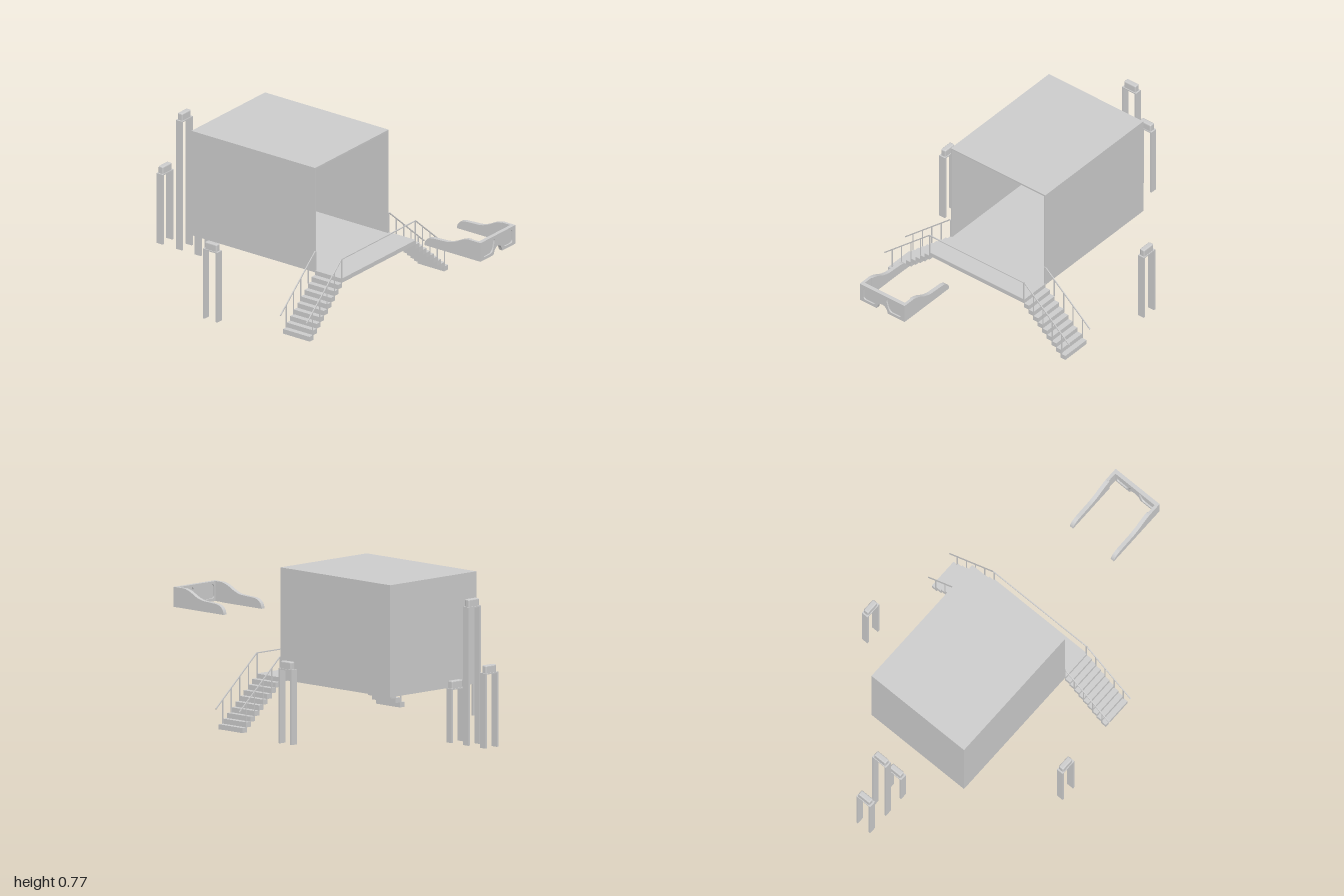
import * as THREE from 'three';
import { RoundedBoxGeometry } from 'three/addons/geometries/RoundedBoxGeometry.js';

const grey = new THREE.MeshStandardMaterial({ color: 0xcccccc, flatShading: true, side: THREE.DoubleSide });

function add(parent, name, geometry, x = 0, y = 0, z = 0) {
  const mesh = new THREE.Mesh(geometry, grey);
  mesh.name = name;
  mesh.position.set(x, y, z);
  parent.add(mesh);
  return mesh;
}

// Box given by its limits on each axis
function block(parent, name, x0, x1, y0, y1, z0, z1) {
  return add(parent, name, new THREE.BoxGeometry(x1 - x0, y1 - y0, z1 - z0),
    (x0 + x1) / 2, (y0 + y1) / 2, (z0 + z1) / 2);
}

// Thin square bar between two points in a plane of constant x
function bar(parent, name, x, y0, z0, y1, z1, t = 0.005) {
  const mesh = add(parent, name, new THREE.BoxGeometry(t, t, Math.hypot(y1 - y0, z1 - z0)),
    x, (y0 + y1) / 2, (z0 + z1) / 2);
  mesh.rotation.x = -Math.atan2(y1 - y0, z1 - z0);
}

function group(parent, name) {
  const g = new THREE.Group();
  g.name = name;
  parent.add(g);
  return g;
}

// Two slim legs joined by a rounded cap
function gate(parent, x, z, height, turned) {
  const g = group(parent, 'gate');
  const shoulder = height - 0.036;
  for (const s of [-1, 1]) add(g, 'gateLeg', new THREE.BoxGeometry(0.01, shoulder, 0.036), s * 0.038, shoulder / 2, 0);
  add(g, 'gateBeam', new THREE.BoxGeometry(0.086, 0.006, 0.036), 0, shoulder - 0.003, 0);
  add(g, 'gateCap', new RoundedBoxGeometry(0.07, 0.042, 0.028, 2, 0.006), 0, height - 0.021, 0);
  g.position.set(x, 0, z);
  if (turned) g.rotation.y = Math.PI / 2;
}

// Room with an open side towards +x
function buildRoom(parent) {
  const g = group(parent, 'room');
  const t = 0.008, x0 = -0.605, x1 = 0.13, y0 = 0.228, y1 = 0.766, w = 0.288;
  block(g, 'floor', x0, x1, y0, y0 + t, -w, w);
  block(g, 'ceiling', x0, x1, y1 - t, y1, -w, w);
  block(g, 'endWall', x0, x0 + t, y0 + t, y1 - t, -w, w);
  for (const s of [-1, 1]) {
    const c = s * (w - t / 2);
    block(g, 'sideWall', x0 + t, x1, y0 + t, y1 - t, c - t / 2, c + t / 2);
  }
}

// Landing with a flight of stairs and handrails on either end
function buildLanding(parent) {
  const g = group(parent, 'landing');
  const x0 = 0.132, x1 = 0.29, top = 0.238, w = 0.29, railY = 0.337;
  block(g, 'platform', x0, x1, 0.216, top, -w, w);
  bar(g, 'platformRail', x1 - 0.002, railY, -w, railY, w);

  const steps = 9, rise = 0.216 / steps, run = 0.25 / steps;
  for (const s of [-1, 1]) {
    const flight = group(g, 'stairs');
    for (let i = 0; i < steps; i++) {
      const z = w + (steps - i - 0.5) * run;
      add(flight, 'step', new THREE.BoxGeometry(x1 - x0, rise, run + 0.003), (x0 + x1) / 2, (i + 0.5) * rise, s * z);
    }
    for (const x of [x0, x1 - 0.002]) {
      bar(flight, 'handrail', x, railY, s * w, 0.1, s * 0.563);
      bar(flight, 'cornerPost', x, top, s * (w - 0.003), railY, s * (w - 0.003));
      for (const z of [0.345, 0.403, 0.46, 0.517]) {
        const level = Math.ceil(steps - (z - w) / run) * rise;
        bar(flight, 'baluster', x, level, s * z, railY - (z - w) * 0.868, s * z, 0.004);
      }
    }
  }
}

function extrude(shape, depth) {
  return new THREE.ExtrudeGeometry(shape, { depth, bevelEnabled: false, curveSegments: 8 });
}

// Rounded lens outline; s picks the side
function lensPath(PathType, s) {
  const p = new PathType();
  p.moveTo(s * 0.035, 0.54);
  p.lineTo(s * 0.1, 0.54);
  p.quadraticCurveTo(s * 0.114, 0.54, s * 0.114, 0.525);
  p.lineTo(s * 0.114, 0.485);
  p.quadraticCurveTo(s * 0.114, 0.471, s * 0.1, 0.471);
  p.lineTo(s * 0.062, 0.471);
  p.quadraticCurveTo(s * 0.042, 0.471, s * 0.034, 0.495);
  p.lineTo(s * 0.025, 0.526);
  p.quadraticCurveTo(s * 0.023, 0.54, s * 0.035, 0.54);
  return p;
}

function buildGlasses(parent) {
  const g = group(parent, 'glasses');
  const w = 0.137, low = 0.457, high = 0.553;

  // Front frame, drawn facing +z and turned to face +x
  const frame = new THREE.Shape();
  frame.moveTo(-w, low);
  frame.lineTo(-0.034, low);
  frame.quadraticCurveTo(-0.026, 0.492, 0, 0.494);
  frame.quadraticCurveTo(0.026, 0.492, 0.034, low);
  frame.lineTo(w, low);
  frame.lineTo(w, high);
  frame.lineTo(-w, high);
  frame.closePath();
  for (const s of [-1, 1]) frame.holes.push(lensPath(THREE.Path, s));
  add(g, 'frame', extrude(frame, 0.02), 0.978).rotation.y = Math.PI / 2;
  for (const s of [-1, 1]) {
    add(g, 'lens', extrude(lensPath(THREE.Shape, s), 0.004), 0.986).rotation.y = Math.PI / 2;
  }

  // Temple arms, thinner near the hinge
  const arm = new THREE.Shape();
  arm.moveTo(0.93, low);
  arm.lineTo(0.664, low);
  arm.quadraticCurveTo(0.668, 0.502, 0.72, 0.504);
  arm.lineTo(0.8, 0.508);
  arm.quadraticCurveTo(0.83, 0.512, 0.86, 0.527);
  arm.quadraticCurveTo(0.9, 0.55, 0.93, high);
  arm.closePath();
  for (const s of [-1, 1]) {
    add(g, 'arm', extrude(arm, 0.02), 0, 0, s > 0 ? w - 0.02 : -w);
    add(g, 'hinge', new THREE.BoxGeometry(0.052, high - low, 0.015), 0.954, (low + high) / 2, s * (w - 0.0075));
  }
}

export function createModel() {
  const model = new THREE.Group();
  model.name = 'model';
  buildRoom(model);
  buildLanding(model);
  buildGlasses(model);
  // Gates beside the room, then the row at its closed end
  for (const s of [-1, 1]) gate(model, -0.238, s * 0.607, 0.396, false);
  for (const [x, h] of [[-0.982, 0.396], [-0.867, 0.7], [-0.756, 0.296]]) gate(model, x, -0.002, h, true);
  return model;
}
